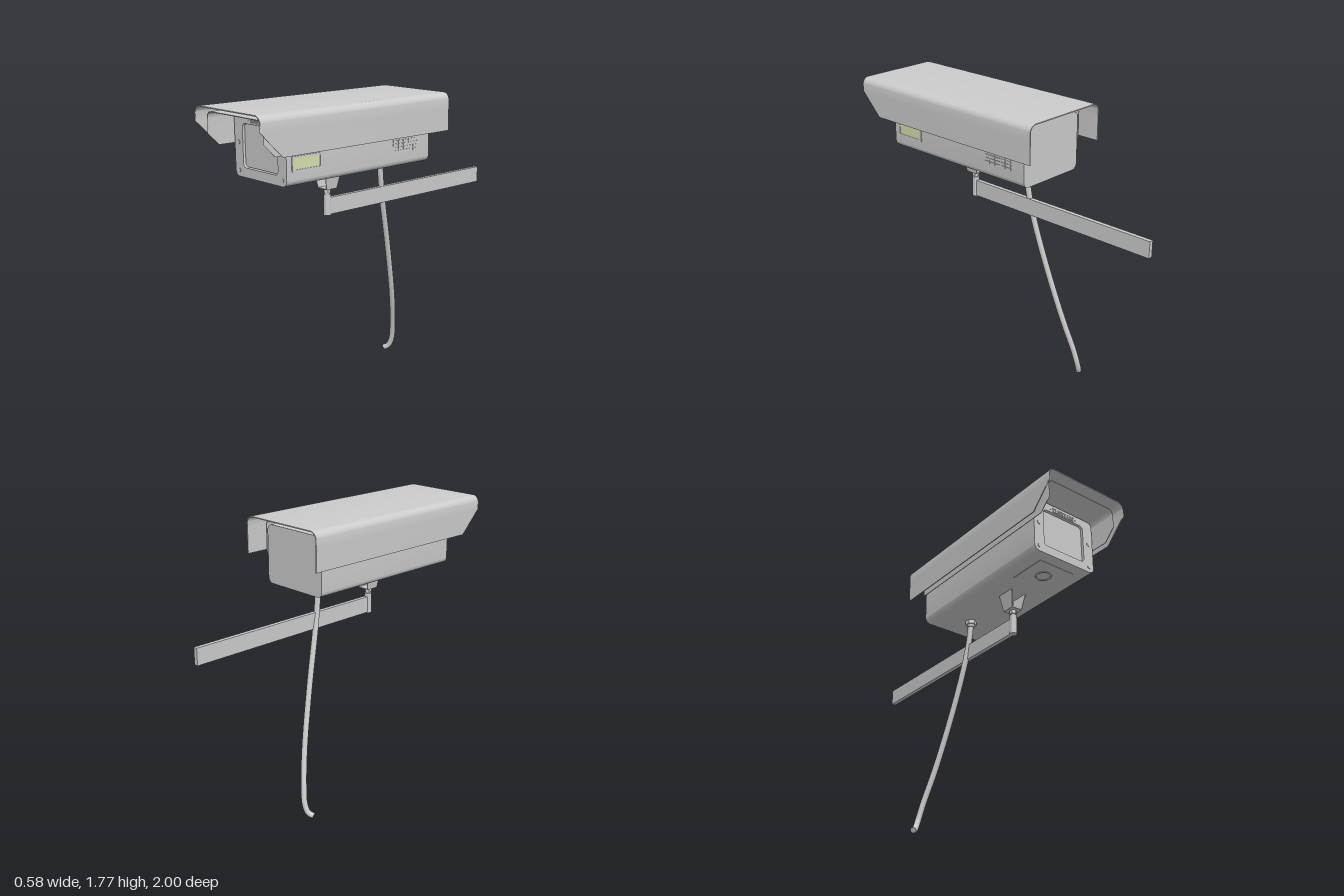
import * as THREE from 'three';
import { toCreasedNormals } from 'three/addons/utils/BufferGeometryUtils.js';

const grey = new THREE.MeshStandardMaterial({ color: 0xcccccc, side: THREE.DoubleSide });
const labelMaterial = new THREE.MeshStandardMaterial({ color: 0xd4dfad });

function roundedRect(PathType, x0, y0, x1, y1, r) {
  const p = new PathType();
  p.moveTo(x0 + r, y0);
  p.lineTo(x1 - r, y0);
  p.absarc(x1 - r, y0 + r, r, -Math.PI / 2, 0);
  p.lineTo(x1, y1 - r);
  p.absarc(x1 - r, y1 - r, r, 0, Math.PI / 2);
  p.lineTo(x0 + r, y1);
  p.absarc(x0 + r, y1 - r, r, Math.PI / 2, Math.PI);
  p.lineTo(x0, y0 + r);
  p.absarc(x0 + r, y0 + r, r, Math.PI, Math.PI * 1.5);
  return p;
}

// Extrude a shape along z between two depths
function extrude(shape, z0, z1) {
  const g = new THREE.ExtrudeGeometry(shape, { depth: z1 - z0, bevelEnabled: false, curveSegments: 8 });
  return g.translate(0, 0, z0);
}

// Thin upside-down U of sheet metal, its front lower corners cut at 45 degrees
function sheetCover(halfW, bottom, top, r, t, z0, z1, cutTop) {
  const s = new THREE.Shape();
  s.moveTo(halfW, bottom);
  s.lineTo(halfW, cutTop);
  s.lineTo(halfW, top - r);
  s.absarc(halfW - r, top - r, r, 0, Math.PI / 2);
  s.lineTo(-halfW + r, top);
  s.absarc(-halfW + r, top - r, r, Math.PI / 2, Math.PI);
  s.lineTo(-halfW, cutTop);
  s.lineTo(-halfW, bottom);
  s.lineTo(-halfW + t, bottom);
  s.lineTo(-halfW + t, cutTop);
  s.lineTo(-halfW + t, top - r);
  s.absarc(-halfW + r, top - r, r - t, Math.PI, Math.PI / 2, true);
  s.lineTo(halfW - r, top - t);
  s.absarc(halfW - r, top - r, r - t, Math.PI / 2, 0, true);
  s.lineTo(halfW - t, cutTop);
  s.lineTo(halfW - t, bottom);
  const g = extrude(s, z0, z1);
  const p = g.attributes.position;
  for (let i = 0; i < p.count; i++) {
    if (p.getZ(i) > z1 - 0.001) p.setZ(i, z1 - Math.max(0, cutTop - p.getY(i)));
  }
  g.computeVertexNormals();
  return g;
}

export function createModel() {
  const model = new THREE.Group();
  const add = (name, geometry, x = 0, y = 0, z = 0, material = grey) => {
    const mesh = new THREE.Mesh(geometry, material);
    mesh.name = name;
    mesh.position.set(x, y, z);
    model.add(mesh);
    return mesh;
  };
  const box = (name, w, h, d, x, y, z, material) =>
    add(name, new THREE.BoxGeometry(w, h, d), x, y, z, material);
  const cylinder = (name, rTop, rBottom, h, x, y, z, sides = 20) =>
    add(name, toCreasedNormals(new THREE.CylinderGeometry(rTop, rBottom, h, sides), 0.6), x, y, z);

  // Sun hood and inner liner
  add('sunHood', toCreasedNormals(sheetCover(0.29, 1.55, 1.775, 0.045, 0.006, -0.39, 1, 1.69), 0.5));
  add('hoodLiner', toCreasedNormals(sheetCover(0.25, 1.55, 1.742, 0.035, 0.004, -0.28, 0.95, 1.62), 0.5));
  for (const x of [-0.12, 0.12]) box('hoodSpacer', 0.04, 0.052, 0.9, x, 1.744, 0.2);

  // Housing with a front bezel around the recessed window
  const body = roundedRect(THREE.Shape, -0.225, 1.37, 0.225, 1.72, 0.035);
  add('housing', toCreasedNormals(extrude(body, -0.29, 0.765), 0.5));
  const bezel = roundedRect(THREE.Shape, -0.225, 1.37, 0.225, 1.72, 0.035);
  bezel.holes.push(roundedRect(THREE.Path, -0.152, 1.425, 0.152, 1.67, 0.025));
  add('frontBezel', toCreasedNormals(extrude(bezel, 0.765, 0.79), 0.5));
  add('window', extrude(roundedRect(THREE.Shape, -0.148, 1.429, 0.148, 1.666, 0.022), 0.764, 0.777));

  // Front screws and the slotted strip above the window
  for (const x of [-0.19, 0.19]) {
    for (const y of [1.405, 1.562]) {
      cylinder('frontScrew', 0.012, 0.012, 0.006, x, y, 0.791).rotation.x = Math.PI / 2;
    }
  }
  for (let i = 0; i < 16; i++) box('frontSlotRib', 0.005, 0.022, 0.004, -0.075 + i * 0.01, 1.69, 0.791);
  for (const y of [1.678, 1.702]) box('frontSlotEdge', 0.16, 0.003, 0.004, 0, y, 0.791);
  for (const x of [-0.095, 0.095]) {
    cylinder('stripScrew', 0.004, 0.004, 0.004, x, 1.69, 0.791, 10).rotation.x = Math.PI / 2;
  }

  // Framed label on the left side
  const frame = roundedRect(THREE.Shape, -0.103, -0.042, 0.103, 0.042, 0.004);
  frame.holes.push(roundedRect(THREE.Path, -0.09, -0.031, 0.09, 0.031, 0.003));
  add('labelFrame', extrude(frame, 0, 0.006), 0.224, 1.49, 0.652).rotation.y = Math.PI / 2;
  box('label', 0.004, 0.064, 0.182, 0.225, 1.49, 0.652, labelMaterial);

  // Side vent louvres
  for (let col = 0; col < 5; col++) {
    for (let row = 0; row < 4; row++) {
      box('ventLouvre', 0.006, 0.014, 0.035, 0.225, 1.46 + row * 0.02, -0.008 - col * 0.041);
    }
  }

  // Underside access plate with ring
  box('accessPlate', 0.25, 0.006, 0.24, 0, 1.369, 0.6);
  add('accessRing', new THREE.TorusGeometry(0.045, 0.005, 8, 28), 0, 1.366, 0.6).rotation.x = Math.PI / 2;

  // Hanging bracket: two tapering side plates joined by a foot
  const plate = new THREE.Shape([[-0.06, 0], [0.06, 0], [0.04, -0.11], [-0.04, -0.11]]
    .map(([x, y]) => new THREE.Vector2(x, y)));
  for (const side of [-1, 1]) {
    const mesh = add('bracketPlate', extrude(plate, -0.002, 0.002), side * 0.053, 1.37, 0.315);
    mesh.rotation.set(0, Math.PI / 2, -side * 0.16, 'ZYX');
  }
  box('bracketFoot', 0.074, 0.005, 0.08, 0, 1.262, 0.315);

  // Swivel joint and wall arm
  cylinder('swivelNut', 0.022, 0.022, 0.025, 0, 1.247, 0.318, 6);
  cylinder('swivelNeck', 0.015, 0.015, 0.06, 0, 1.235, 0.318);
  cylinder('swivelPost', 0.022, 0.022, 0.125, 0, 1.1635, 0.318);
  box('wallArm', 0.026, 0.1, 1.305, 0, 1.155, -0.3475);

  // Cable gland and hanging cable
  cylinder('cableGland', 0.035, 0.035, 0.026, 0, 1.357, -0.105, 6);
  cylinder('glandCollar', 0.024, 0.024, 0.03, 0, 1.343, -0.105);
  const cablePath = new THREE.CatmullRomCurve3([
    [0, 1.36, -0.105], [-0.003, 1.26, -0.115], [-0.014, 1.1, -0.143], [-0.045, 0.8, -0.218],
    [-0.102, 0.42, -0.318], [-0.15, 0.2, -0.372], [-0.175, 0.09, -0.388],
    [-0.198, 0.035, -0.38], [-0.222, 0.02, -0.362],
  ].map((p) => new THREE.Vector3(...p)));
  add('cable', new THREE.TubeGeometry(cablePath, 60, 0.018, 12));
  const end = add('cableEnd', new THREE.CircleGeometry(0.018, 12), -0.222, 0.02, -0.362);
  end.lookAt(end.position.clone().add(cablePath.getTangent(1)));

  return model;
}
